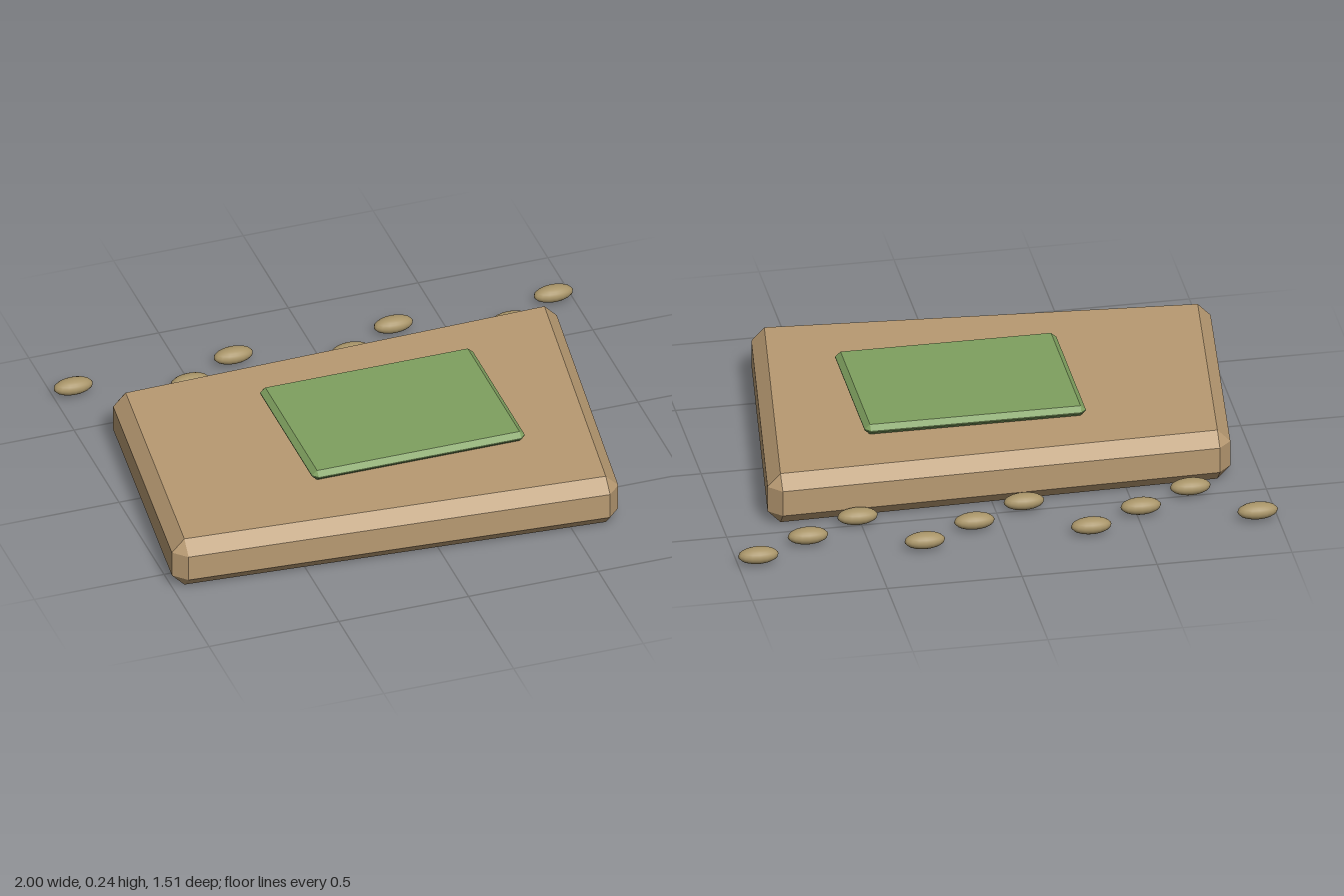
import * as THREE from 'three';
import { ConvexGeometry } from 'three/addons/geometries/ConvexGeometry.js';

// Chamfered slab over four plan corners, each pushed out by c along x, y and z
function chamferedSlab(corners, y0, y1, c, cy) {
  const points = [];
  for (const [x, z, sx, sz] of corners) {
    for (const [outer, inner] of [[y0, y0 + cy], [y1, y1 - cy]]) {
      points.push(
        new THREE.Vector3(x, outer, z),
        new THREE.Vector3(x + sx * c, inner, z),
        new THREE.Vector3(x, inner, z + sz * c)
      );
    }
  }
  return new ConvexGeometry(points);
}

export function createModel() {
  const model = new THREE.Group();
  const add = (name, geometry, material, parent = model) => {
    const mesh = new THREE.Mesh(geometry, material);
    mesh.name = name;
    parent.add(mesh);
    return mesh;
  };
  const earth = new THREE.MeshStandardMaterial({ color: 0xb89a72, flatShading: true });
  const grass = new THREE.MeshStandardMaterial({ color: 0x7fa05f, flatShading: true });
  const stone = new THREE.MeshStandardMaterial({ color: 0xa89468 });

  // Skewed ground slab
  add('groundSlab', chamferedSlab([
    [-0.84, -0.387, -1, -1], [0.786, -0.422, 1, -1],
    [0.632, 0.703, 1, 1], [-0.952, 0.587, -1, 1]
  ], 0, 0.2, 0.048, 0.05), earth);

  // Thin green patch just above the slab
  add('greenPatch', chamferedSlab([
    [-0.37, -0.19, -1, -1], [0.41, -0.19, 1, -1],
    [0.41, 0.385, 1, 1], [-0.37, 0.385, -1, 1]
  ], 0.204, 0.244, 0.02, 0.018), grass);

  // Ten pebbles zigzagging over three rows behind the slab
  const pebbles = new THREE.Group();
  pebbles.name = 'pebbles';
  model.add(pebbles);
  const pebbleShape = new THREE.SphereGeometry(1, 16, 12).scale(0.075, 0.031, 0.038);
  const rows = [-0.724, -0.494, -0.609];
  for (let i = 0; i < 10; i++) {
    add('pebble' + (i + 1), pebbleShape, stone, pebbles)
      .position.set(-0.925 + i * 0.2056, 0.036, rows[i % 3]);
  }
  return model;
}
